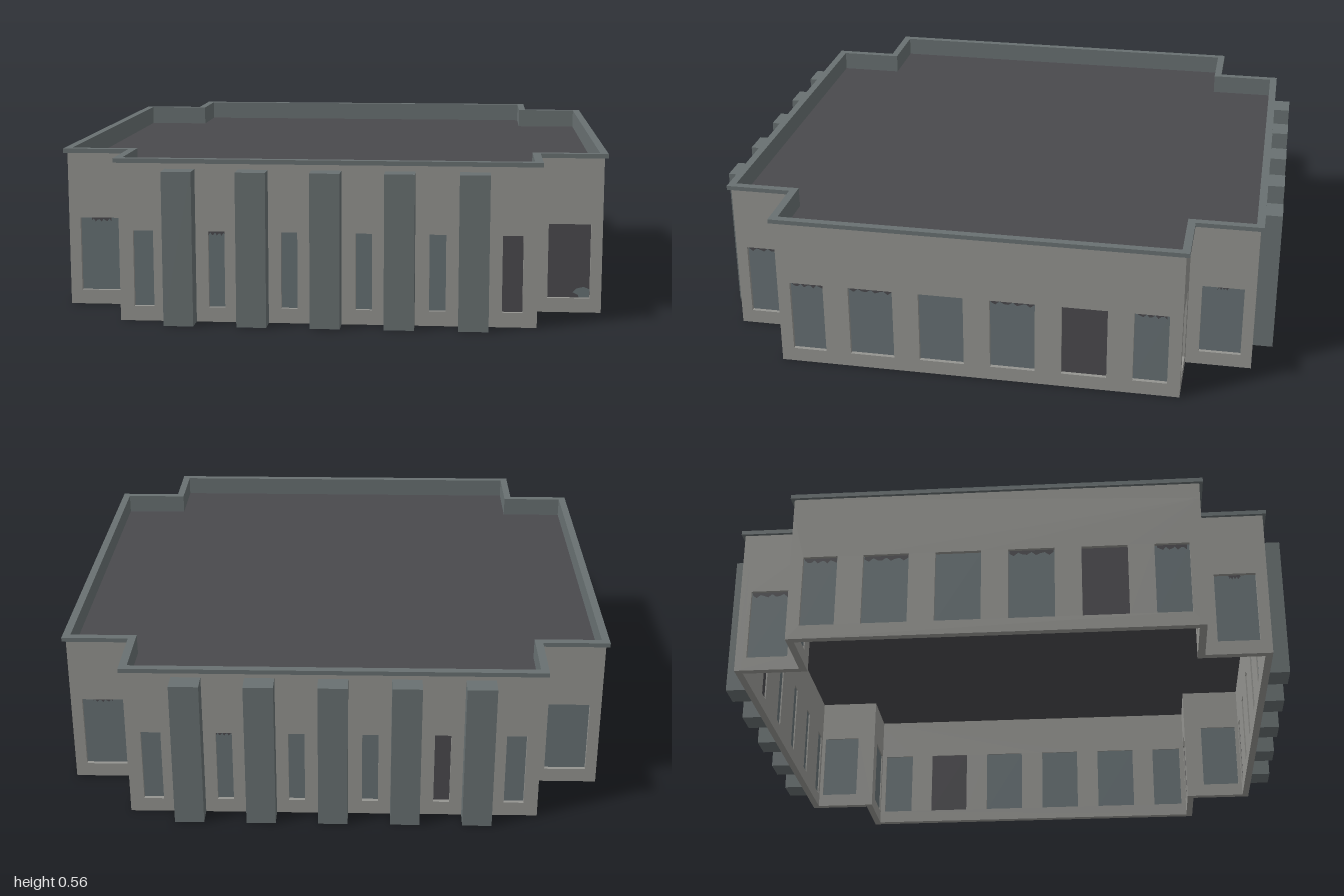
import * as THREE from 'three';

const mat = (name, color) => new THREE.MeshStandardMaterial({ name, color });

export function createModel() {
  const wallMat = mat('concrete', 0x949490);
  const trimMat = mat('slateTrim', 0x687071);
  const glassMat = mat('dullGlass', 0x667073);
  const darkMat = mat('darkRoof', 0x4a494d);
  const model = new THREE.Group();
  model.name = 'building';

  const T = 0.025, SILL = 0.05, HEAD = 0.31, ROOF = 0.483;

  const add = (parent, name, geo, material, x = 0, y = 0, z = 0) => {
    const m = new THREE.Mesh(geo, material);
    m.name = name;
    m.position.set(x, y, z);
    parent.add(m);
    return m;
  };

  // Cross-shaped outline, offset outwards by o
  const outline = (o) => {
    const a = 0.93 + o, b = 0.7 + o;
    return [[a, -b], [a, b], [b, b], [b, a], [-b, a], [-b, b], [-a, b], [-a, -b],
      [-b, -b], [-b, -a], [b, -a], [b, -b]].map(([x, y]) => new THREE.Vector2(x, y));
  };
  // Horizontal slab or ring between two heights
  const slab = (name, material, outer, inner, y0, y1) => {
    const shape = new THREE.Shape(outline(outer));
    if (inner !== null) shape.holes.push(new THREE.Path(outline(inner)));
    const geo = new THREE.ExtrudeGeometry(shape, { depth: y1 - y0, bevelEnabled: false });
    geo.rotateX(-Math.PI / 2);
    add(model, name, geo, material, 0, y0, 0);
  };

  const rect = (Kind, x0, y0, x1, y1) => new Kind([[x0, y0], [x1, y0], [x1, y1], [x0, y1]]
    .map(([x, y]) => new THREE.Vector2(x, y)));

  // Ragged dark gap along the top of a broken pane
  const fringe = (w, depth) => {
    const s = new THREE.Shape();
    const n = 10;
    s.moveTo(-w / 2, 0);
    for (let i = 0; i <= n; i++) {
      s.lineTo(-w / 2 + (w * i) / n, -depth * (0.65 + 0.35 * Math.sin(i * 2.3 + w * 40)));
    }
    s.lineTo(w / 2, 0);
    return new THREE.ShapeGeometry(s);
  };

  // Wall panel with window openings; local +z faces outwards.
  // Each window is [centre, width, kind, fringe width]
  const wall = (parent, name, x, z, turn, len, windows) => {
    const g = new THREE.Group();
    g.name = name;
    g.position.set(x, 0, z);
    g.rotation.y = turn;
    parent.add(g);
    const shape = rect(THREE.Shape, -len / 2, 0, len / 2, ROOF);
    for (const [c, w] of windows) {
      shape.holes.push(rect(THREE.Path, c - w / 2, SILL, c + w / 2, HEAD));
    }
    add(g, 'wallPanel', new THREE.ExtrudeGeometry(shape, { depth: T, bevelEnabled: false }),
      wallMat, 0, 0, -T);
    for (const [c, w, kind, f] of windows) {
      add(g, 'windowPane', new THREE.BoxGeometry(w, HEAD - SILL, 0.006),
        kind === 'dark' ? darkMat : glassMat, c, (SILL + HEAD) / 2, -0.017);
      if (f) add(g, 'brokenEdge', fringe(f, f < 0.08 ? 0.017 : 0.02), darkMat, c, HEAD, -0.012);
    }
    return g;
  };

  // The two halves are half-turn copies, differing in their broken windows
  for (const s of [0, 1]) {
    const half = new THREE.Group();
    half.name = s ? 'backHalf' : 'frontHalf';
    half.rotation.y = s * Math.PI;
    model.add(half);

    // Long wall with narrow windows between the piers
    const darkAt = s ? 0.37 : 0.618;
    wall(half, 'pierWall', 0, 0.93, 0, 1.4,
      [-0.618, -0.37, -0.125, 0.125, 0.37, 0.618].map((c) => [
        c, Math.abs(c) > 0.6 ? 0.068 : 0.055,
        c === darkAt ? 'dark' : 'glass', c === -0.37 ? 0.055 : 0]));
    for (let i = -2; i <= 2; i++) {
      add(half, 'pier', new THREE.BoxGeometry(0.1, 0.52, 0.07), trimMat, i * 0.245, 0.26, 0.965);
    }

    // Long side wall with broad windows
    wall(half, 'sideWall', 0.93, 0, Math.PI / 2, 1.4, [
      [-0.597, 0.118, 'glass', 0.11], [-0.371, 0.156, 'glass', 0.15],
      [-0.124, 0.156, 'glass', 0], [0.124, 0.156, 'glass', 0.15],
      [0.371, 0.156, 'dark', 0], [0.597, 0.118, 'glass', 0.1]]);

    // Short walls in the notched corners
    for (const k of [-1, 1]) {
      const dark = k > 0 && !s;
      const g = wall(half, 'cornerFrontWall', k * 0.815, 0.7, 0, 0.23,
        [[k * 0.003, 0.145, dark ? 'dark' : 'glass', k < 0 ? 0.07 : 0]]);
      if (dark) {
        const shard = new THREE.Shape([[0.075, 0], [0.075, 0.03], [0.055, 0.038], [0.03, 0.032],
          [0.018, 0.018], [0.035, 0.01], [0.04, 0]].map(([x, y]) => new THREE.Vector2(x, y)));
        add(g, 'glassShard', new THREE.ShapeGeometry(shard), glassMat, 0, SILL, -0.012);
      }
      wall(half, 'cornerSideWall', 0.7, k * (0.815 - T / 2), Math.PI / 2, 0.23 + T,
        [[-k * (0.003 + T / 2), 0.145, 'glass', k > 0 ? 0.14 : 0.04]]);
    }
  }

  // Flat roof, parapet with lining, and coping
  slab('roof', darkMat, -0.015, null, ROOF - 0.008, ROOF + 0.002);
  slab('parapet', wallMat, 0, -0.008, ROOF, 0.54);
  slab('parapetLining', trimMat, -0.008, -0.015, ROOF, 0.54);
  slab('coping', trimMat, 0.012, -0.015, 0.54, 0.555);

  return model;
}
